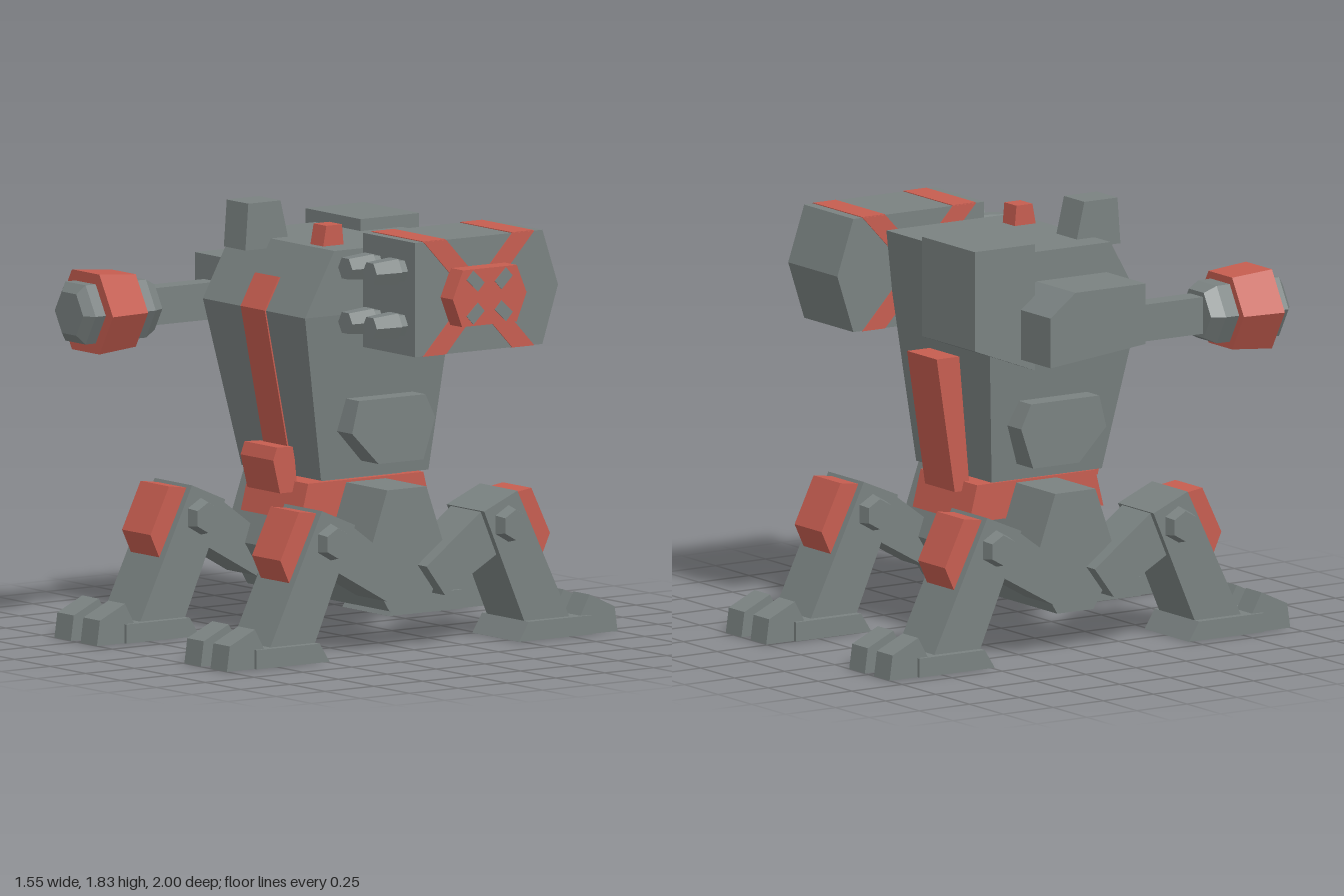
import * as THREE from 'three';

const gray = new THREE.MeshStandardMaterial({ color: 0x7a8281, flatShading: true });
gray.name = 'armourGray';
const red = new THREE.MeshStandardMaterial({ color: 0xc65d50, flatShading: true });
red.name = 'accentRed';

const MID = -0.05; // centre line of the body

export function createModel() {
  const root = new THREE.Group();
  root.name = 'walker';

  const add = (parent, name, geo, mat) => {
    const m = new THREE.Mesh(geo, mat);
    m.name = name;
    parent.add(m);
    return m;
  };
  const group = (name, parent = root) => {
    const g = new THREE.Group();
    g.name = name;
    parent.add(g);
    return g;
  };
  // side profile of [z, y] points, extruded across x0..x1
  const prism = (parent, name, pts, x0, x1, mat) => {
    const shape = new THREE.Shape(pts.map(p => new THREE.Vector2(p[0], p[1])));
    const geo = new THREE.ExtrudeGeometry(shape, { depth: x1 - x0, bevelEnabled: false });
    return add(parent, name, geo.rotateY(-Math.PI / 2).translate(x1, 0, 0), mat);
  };
  const rect = (z0, z1, y0, y1) => [[z0, y0], [z1, y0], [z1, y1], [z0, y1]];
  // six-sided frustum along 'x' or 'z', from radius r0 at a to r1 at b
  const hex = (parent, name, axis, a, b, r0, r1, u, v, mat) => {
    const geo = new THREE.CylinderGeometry(r1, r0, b - a, 6).rotateY(Math.PI / 6);
    if (axis === 'x') geo.rotateZ(-Math.PI / 2).translate((a + b) / 2, u, v);
    else geo.rotateX(Math.PI / 2).translate(u, v, (a + b) / 2);
    return add(parent, name, geo, mat);
  };

  // pelvis and waist
  prism(root, 'pelvis', [[0.1, 0.67], [0.21, 0.36], [0.09, 0.163], [-0.09, 0.163], [-0.21, 0.36], [-0.1, 0.67]],
    MID - 0.5, MID + 0.5, gray);
  prism(root, 'waistCollar', [[0.295, 0.68], [0.335, 0.525], [-0.335, 0.525], [-0.295, 0.68]], MID - 0.21, MID + 0.21, red);
  prism(root, 'waistCore', rect(-0.2, 0.2, 0.6, 0.72), MID - 0.18, MID + 0.18, gray);
  prism(root, 'frontBumper', [[0.385, 0.828], [0.405, 0.775], [0.37, 0.635], [0.28, 0.635], [0.3, 0.825]],
    MID - 0.115, MID + 0.115, red);

  // torso: box whose three rings are moved to [y, halfWidth, back, front]
  const rings = [[0.7, 0.28, -0.27, 0.28], [1.4, 0.36, -0.335, 0.42], [1.67, 0.36, -0.365, 0.27]];
  const torso = new THREE.BoxGeometry(1, 1, 1, 1, 2, 1);
  const p = torso.attributes.position;
  for (let i = 0; i < p.count; i++) {
    const [y, w, back, front] = rings[Math.round(p.getY(i) * 2 + 1)];
    p.setXYZ(i, MID + Math.sign(p.getX(i)) * w, y, p.getZ(i) > 0 ? front : back);
  }
  torso.computeVertexNormals();
  add(root, 'torso', torso, gray);

  prism(root, 'chestStripe', [[0.346, 1.533], [0.353, 1.536], [0.427, 1.402], [0.303, 0.78], [0.296, 0.78], [0.42, 1.4]],
    MID - 0.085, MID + 0.085, red);
  prism(root, 'sidePods', [[0.18, 1.04], [-0.16, 1.04], [-0.21, 0.94], [-0.15, 0.768], [0.08, 0.768], [0.215, 0.905]],
    MID - 0.41, MID + 0.41, gray);
  prism(root, 'backPlate', [[-0.31, 1.21], [-0.43, 1.21], [-0.34, 0.64], [-0.265, 0.64]], MID - 0.11, MID + 0.11, red);
  prism(root, 'backPack', [[-0.155, 1.72], [-0.455, 1.72], [-0.455, 1.3], [-0.155, 1.187]], -0.48, -0.09, gray);
  prism(root, 'sensorBlock', [[0.4, 1.63], [0.385, 1.825], [0.22, 1.825], [0.18, 1.66], [0.27, 1.63]], -0.29, -0.138, gray);
  prism(root, 'beacon', [[0.235, 1.65], [0.215, 1.755], [0.135, 1.755], [0.125, 1.65]], 0.088, 0.178, red);

  // launcher pod on the left shoulder
  const pod = group('launcher');
  prism(pod, 'launcherBody', [[0.128, 1.735], [-0.525, 1.735], [-0.605, 1.5], [-0.525, 1.257], [0.128, 1.257]],
    0.317, 0.682, gray);
  for (const [z0, z1] of [[-0.03, 0.085], [-0.48, -0.368]])
    for (const y of [1.255, 1.732]) prism(pod, 'launcherBand', rect(z0, z1, y, y + 0.006), 0.317, 0.682, red);
  for (const x of [0.313, 0.68]) {
    prism(pod, 'crossBand', [[0.085, 1.735], [-0.03, 1.735], [-0.48, 1.257], [-0.368, 1.257]], x, x + 0.006, red);
    prism(pod, 'crossBand', [[0.085, 1.257], [-0.03, 1.257], [-0.48, 1.735], [-0.368, 1.735]], x, x + 0.006, red);
  }
  prism(pod, 'launcherCap', [[-0.055, 1.615], [-0.33, 1.615], [-0.38, 1.497], [-0.33, 1.378], [-0.05, 1.378], [-0.003, 1.497]],
    0.68, 0.77, red);
  for (const sz of [-1, 1])
    for (const sy of [-1, 1]) {
      const mark = add(pod, 'capMark', new THREE.BoxGeometry(0.008, 0.05, 0.078), gray);
      mark.position.set(0.769, 1.497 + sy * 0.068, -0.19 + sz * 0.072);
      mark.rotation.x = -sz * sy * 0.75;
    }
  for (const x of [0.412, 0.585])
    for (const y of [1.61, 1.382]) {
      hex(pod, 'rocketBase', 'z', 0.12, 0.17, 0.05, 0.05, x, y, gray);
      hex(pod, 'rocketTip', 'z', 0.165, 0.288, 0.062, 0.05, x, y, gray);
    }

  // gun arm on the right shoulder
  const gun = group('gunArm');
  prism(gun, 'shoulder', [[0.25, 1.545], [-0.1, 1.545], [-0.225, 1.45], [-0.225, 1.24], [0.25, 1.29]], -0.7, -0.39, gray);
  prism(gun, 'forearm', rect(0.2, 0.62, 1.285, 1.44), -0.635, -0.54, gray);
  const gx = -0.585, gy = 1.363;
  hex(gun, 'barrelRear', 'z', 0.58, 0.635, 0.11, 0.14, gx, gy, gray);
  hex(gun, 'barrel', 'z', 0.635, 0.945, 0.14, 0.143, gx, gy, gray);
  hex(gun, 'muzzle', 'z', 0.945, 0.978, 0.143, 0.1, gx, gy, gray);
  hex(gun, 'barrelSleeve', 'z', 0.7, 0.893, 0.175, 0.193, gx, gy, red);

  // four legs, mirrored front to back
  for (const side of [-1, 1])
    for (const dir of [-1, 1]) {
      const leg = group((dir > 0 ? 'front' : 'rear') + (side > 0 ? 'Left' : 'Right') + 'Leg');
      const cx = MID + side * 0.458;
      const part = (name, pts, half, mat, off = 0) =>
        prism(leg, name, pts.map(([z, y]) => [z * dir, y]), cx + off - half, cx + off + half, mat);
      part('thigh', [[0.055, 0.345], [0.15, 0.217], [0.42, 0.37], [0.335, 0.553]], 0.105, gray);
      part('shin', [[0.5, 0.628], [0.33, 0.555], [0.535, 0.08], [0.765, 0.08]], 0.132, gray);
      part('kneePlate', [[0.595, 0.628], [0.505, 0.615], [0.645, 0.335], [0.69, 0.432]], 0.1, red);
      part('foot', [[0.86, 0.08], [0.535, 0.08], [0.485, 0], [0.86, 0]], 0.165, gray);
      for (const s of [-1, 1])
        part('toe', [[1, 0], [0.985, 0.105], [0.857, 0.165], [0.81, 0.08], [0.81, 0]], 0.058, gray, s * 0.092);
      hex(leg, 'kneeBolt', 'x', cx + 0.12, cx + 0.185, 0.08, 0.064, 0.495, 0.455 * dir, gray);
      hex(leg, 'kneeBolt', 'x', cx - 0.185, cx - 0.12, 0.064, 0.08, 0.495, 0.455 * dir, gray);
    }

  return root;
}
